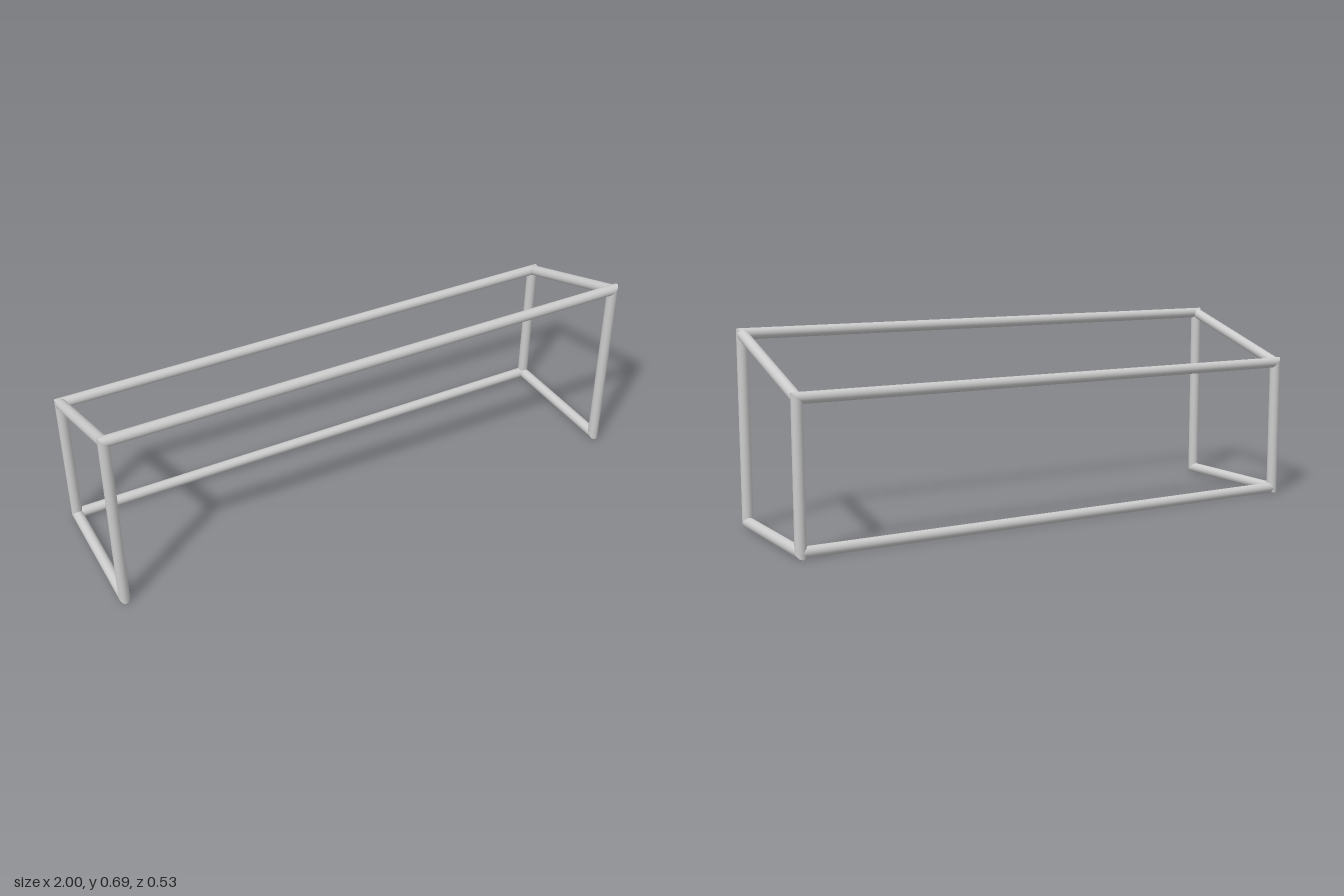
import * as THREE from 'three';

const R = 0.0195;                 // tube radius
const X = 1 - R, Z = 0.265 - R;   // tube centre lines
const FLOOR = R, FRONT_TOP = 0.695 - R, BACK_TOP = 0.532 - R;
const UP = new THREE.Vector3(0, 1, 0);
const material = new THREE.MeshStandardMaterial({ color: 0xcccccc });

// Round tube from a to b; each end is cut by a plane with the given normal (square cut if none)
function tube(name, a, b, cutA, cutB) {
  const dir = b.clone().sub(a);
  const length = dir.length();
  const turn = new THREE.Quaternion().setFromUnitVectors(UP, dir.normalize());
  const back = turn.clone().invert();
  const [nA, nB] = [cutA, cutB].map((n) => (n ? n.clone().applyQuaternion(back) : UP));
  const geometry = new THREE.CylinderGeometry(R, R, length, 16);
  const p = geometry.attributes.position;
  for (let i = 0; i < p.count; i++) {
    const n = p.getY(i) < 0 ? nA : nB;
    p.setY(i, p.getY(i) - (p.getX(i) * n.x + p.getZ(i) * n.z) / n.y);
  }
  const mesh = new THREE.Mesh(geometry, material);
  mesh.name = name;
  mesh.quaternion.copy(turn);
  mesh.position.copy(a).add(b).multiplyScalar(0.5);
  return mesh;
}

export function createModel() {
  const group = new THREE.Group();
  group.name = 'tubeFrame';
  const v = (x, y, z) => new THREE.Vector3(x, y, z);

  // Front and back: mitred top bar with two posts
  for (const [label, z, top] of [['front', Z, FRONT_TOP], ['back', -Z, BACK_TOP]]) {
    group.add(tube(label + 'TopBar', v(-X, top, z), v(X, top, z), v(1, 1, 0), v(1, -1, 0)));
    for (const s of [-1, 1]) {
      group.add(tube(label + (s > 0 ? 'LeftPost' : 'RightPost'),
        v(s * X, FLOOR, z), v(s * X, top, z), v(0, 1, Math.sign(z)), v(s, -1, 0)));
    }
  }

  // Ends: mitred floor rail and sloping top rail
  for (const s of [-1, 1]) {
    const side = s > 0 ? 'left' : 'right';
    group.add(tube(side + 'FloorRail', v(s * X, FLOOR, -Z), v(s * X, FLOOR, Z), v(0, -1, 1), v(0, 1, 1)));
    group.add(tube(side + 'SlopingRail', v(s * X, BACK_TOP, -Z), v(s * X, FRONT_TOP, Z)));
  }

  // Back floor bar, butted between the corners
  group.add(tube('backFloorBar', v(-X, FLOOR, -Z), v(X, FLOOR, -Z)));
  return group;
}
